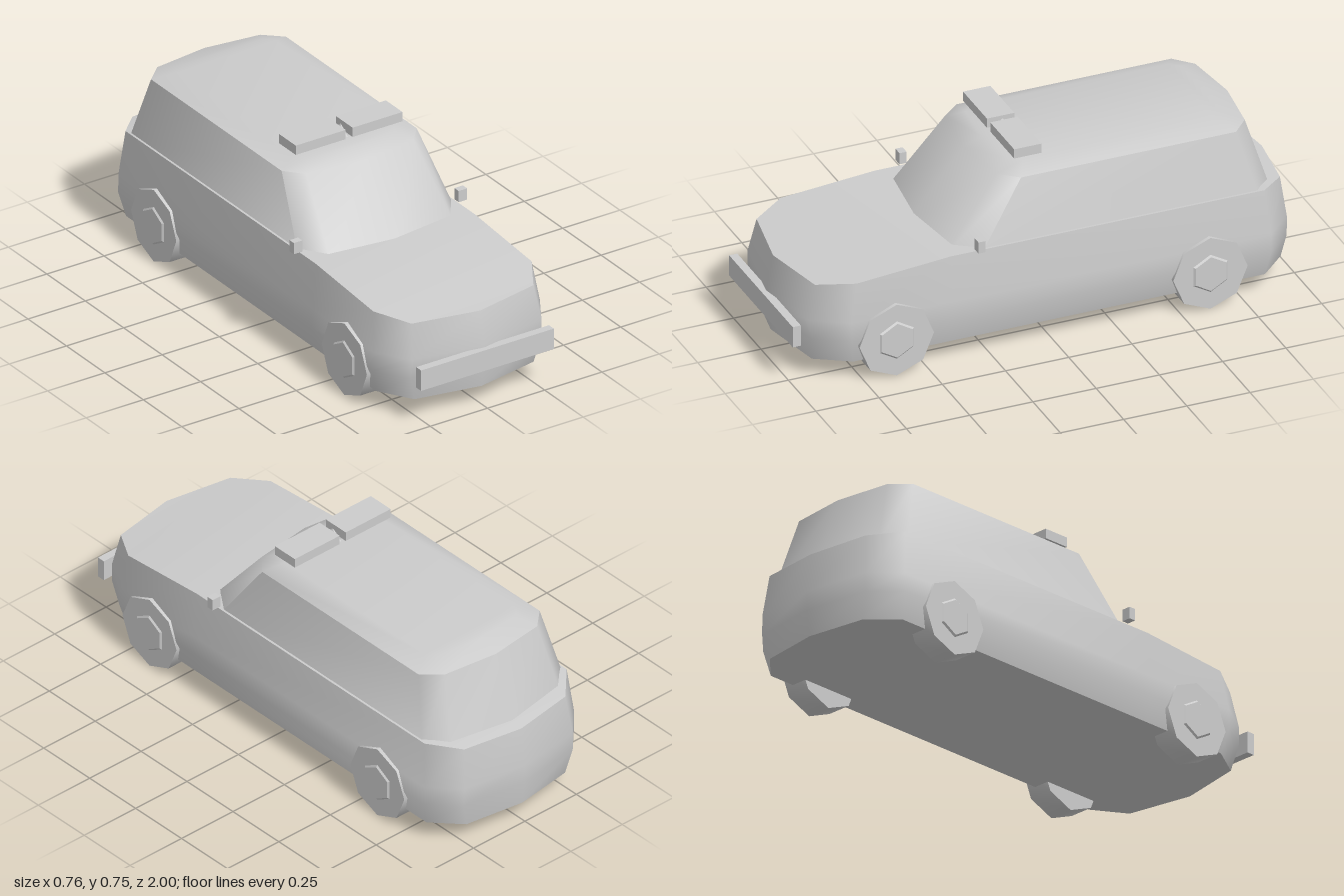
import * as THREE from 'three';
import { toCreasedNormals } from 'three/addons/utils/BufferGeometryUtils.js';

const paint = new THREE.MeshStandardMaterial({ color: 0xcccccc });
paint.name = 'light grey';

// Lofts symmetric rings (half outlines [x, y, z] from front centre to back centre), with caps
function loft(halves, crease) {
  const n = halves[0].length;
  const rings = halves.map(h => [...h, ...h.slice(1, -1).reverse().map(([x, y, z]) => [-x, y, z])]);
  const m = rings[0].length;
  const pos = [];
  const tri = (a, b, c) => pos.push(...a, ...b, ...c);
  for (let r = 0; r < rings.length - 1; r++) {
    for (let i = 0; i < m; i++) {
      const j = (i + 1) % m, a = rings[r], b = rings[r + 1];
      tri(a[i], a[j], b[j]);
      tri(a[i], b[j], b[i]);
    }
  }
  const cap = (ring, up) => {
    const put = (a, b, c) => (up ? tri(a, b, c) : tri(a, c, b));
    for (let i = 0; i < n - 1; i++) {
      const R = ring[i], R2 = ring[i + 1], L = ring[(m - i) % m], L2 = ring[(m - i - 1) % m];
      if (i > 0) put(L, R, R2);
      if (i < n - 2) put(L, R2, L2);
      else if (i === 0) put(L, R, R2);
    }
  };
  cap(rings[0], false);
  cap(rings[rings.length - 1], true);
  const g = new THREE.BufferGeometry();
  g.setAttribute('position', new THREE.Float32BufferAttribute(pos, 3));
  return toCreasedNormals(g, crease);
}

export function createModel() {
  const model = new THREE.Group();
  const add = (name, geometry, x = 0, y = 0, z = 0) => {
    const mesh = new THREE.Mesh(geometry, paint);
    mesh.name = name;
    mesh.position.set(x, y, z);
    model.add(mesh);
    return mesh;
  };
  const box = (name, w, h, d, x, y, z) => add(name, new THREE.BoxGeometry(w, h, d), x, y, z);

  // Lower body: half width, front and back ends at each level
  const bodyRing = (w, f, b, heights) => [
    [0, f], [w - 0.08, f - 0.05], [w, f - 0.18], [w, 0.4],
    [w, b + 0.14], [w - 0.1, b + 0.035], [0, b],
  ].map(([x, z], i) => [x, heights[i] ?? heights[0], z]);
  add('lowerBody', loft([
    bodyRing(0.34, 0.962, -0.985, [0.075]),
    bodyRing(0.366, 0.978, -0.998, [0.175]),
    bodyRing(0.363, 0.98, -1.0, [0.25]),
    bodyRing(0.346, 0.952, -0.98, [0.38, 0.383, 0.4, 0.43, 0.428, 0.41, 0.404]),
  ], 0.9));

  // Cabin with sloping glass and a chamfered roof
  add('cabin', loft([
    [[0, 0.395, 0.425], [0.27, 0.395, 0.39], [0.343, 0.395, 0.285],
      [0.343, 0.395, -0.825], [0.265, 0.395, -0.895], [0, 0.395, -0.935]],
    [[0, 0.665, 0.2], [0.235, 0.665, 0.17], [0.295, 0.665, 0.1],
      [0.295, 0.665, -0.75], [0.225, 0.665, -0.815], [0, 0.665, -0.843]],
    [[0, 0.692, 0.13], [0.19, 0.692, 0.11], [0.22, 0.692, 0.06],
      [0.22, 0.692, -0.7], [0.19, 0.692, -0.74], [0, 0.692, -0.76]],
  ], 0.9));

  // Front bumper
  box('frontBumper', 0.58, 0.084, 0.032, 0, 0.199, 0.984);

  // Roof light bar with a small pointed beacon between its halves
  const beacon = new THREE.ConeGeometry(0.015, 0.035, 8);
  beacon.scale(1, 1, 3);
  add('beacon', beacon, 0, 0.7295, 0.045);

  for (const s of [1, -1]) {
    box('roofLight', 0.218, 0.038, 0.108, s * 0.124, 0.731, 0.046);
    box('sideMirror', 0.037, 0.046, 0.028, s * 0.36, 0.46, 0.29);

    // Octagonal wheels with raised hexagonal hubs
    for (const z of [0.625, -0.615]) {
      const tyre = new THREE.CylinderGeometry(0.147, 0.147, 0.099, 8);
      add('wheel', toCreasedNormals(tyre.rotateZ(Math.PI / 2), 0.9), s * 0.3245, 0.147, z);
      const hub = new THREE.CylinderGeometry(0.07, 0.085, 0.012, 6);
      hub.rotateX(0).rotateY(Math.PI / 2).rotateZ(-s * Math.PI / 2);
      add('wheelHub', toCreasedNormals(hub, 0.3), s * 0.374, 0.147, z);
    }
  }
  return model;
}
